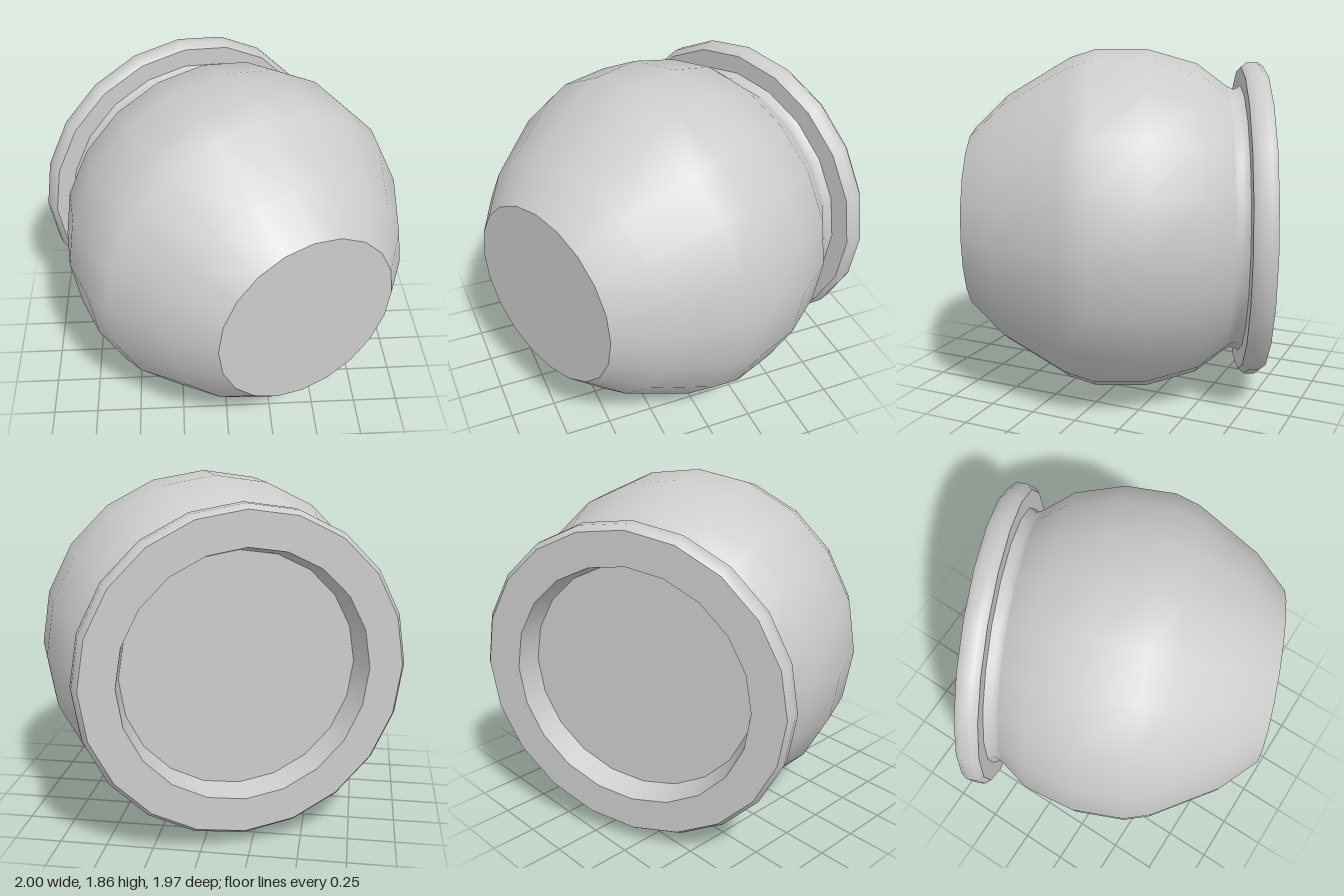
import * as THREE from 'three';

const SIDES = 20;
const RADIUS = 0.93; // widest radius, also the height of the axis

export function createModel() {
  const material = new THREE.MeshStandardMaterial({ color: 0xcccccc });
  const pot = new THREE.Group();
  pot.name = 'pot';

  // Each part is its own lathe, so edges between parts stay sharp.
  const addPart = (name, profile) => {
    const points = profile.map(([r, t]) => new THREE.Vector2(r, t));
    const mesh = new THREE.Mesh(new THREE.LatheGeometry(points, SIDES), material);
    mesh.name = name;
    pot.add(mesh);
  };

  // Profiles are [radius, distance from the base], running from base to mouth.
  addPart('base', [[0, 0], [0.5, 0]]);
  addPart('belly', [
    [0.5, 0], [0.68, 0.186], [0.885, 0.53], [RADIUS, 0.67],
    [RADIUS, 0.945], [0.853, 1.215], [0.73, 1.38],
  ]);
  addPart('neck', [[0.73, 1.38], [0.715, 1.415], [0.735, 1.452]]);
  addPart('rimUnderside', [[0.735, 1.452], [0.835, 1.452]]);
  addPart('rimEdge', [[0.835, 1.452], [0.862, 1.485], [0.862, 1.54], [0.837, 1.573]]);
  addPart('rimFace', [[0.837, 1.573], [0.655, 1.573]]);
  addPart('mouthWall', [[0.655, 1.573], [0.62, 1.44]]);
  addPart('mouthFloor', [[0.62, 1.44], [0, 1.44]]);

  // Lay the pot on its side with the base to the front, then turn it.
  pot.rotation.set(-Math.PI / 2, 0, 0);
  const model = new THREE.Group();
  model.name = 'lyingPot';
  model.add(pot);
  model.rotation.y = THREE.MathUtils.degToRad(23);
  model.position.set(0.39, RADIUS, 0.785);

  const root = new THREE.Group();
  root.name = 'model';
  root.add(model);
  return root;
}
